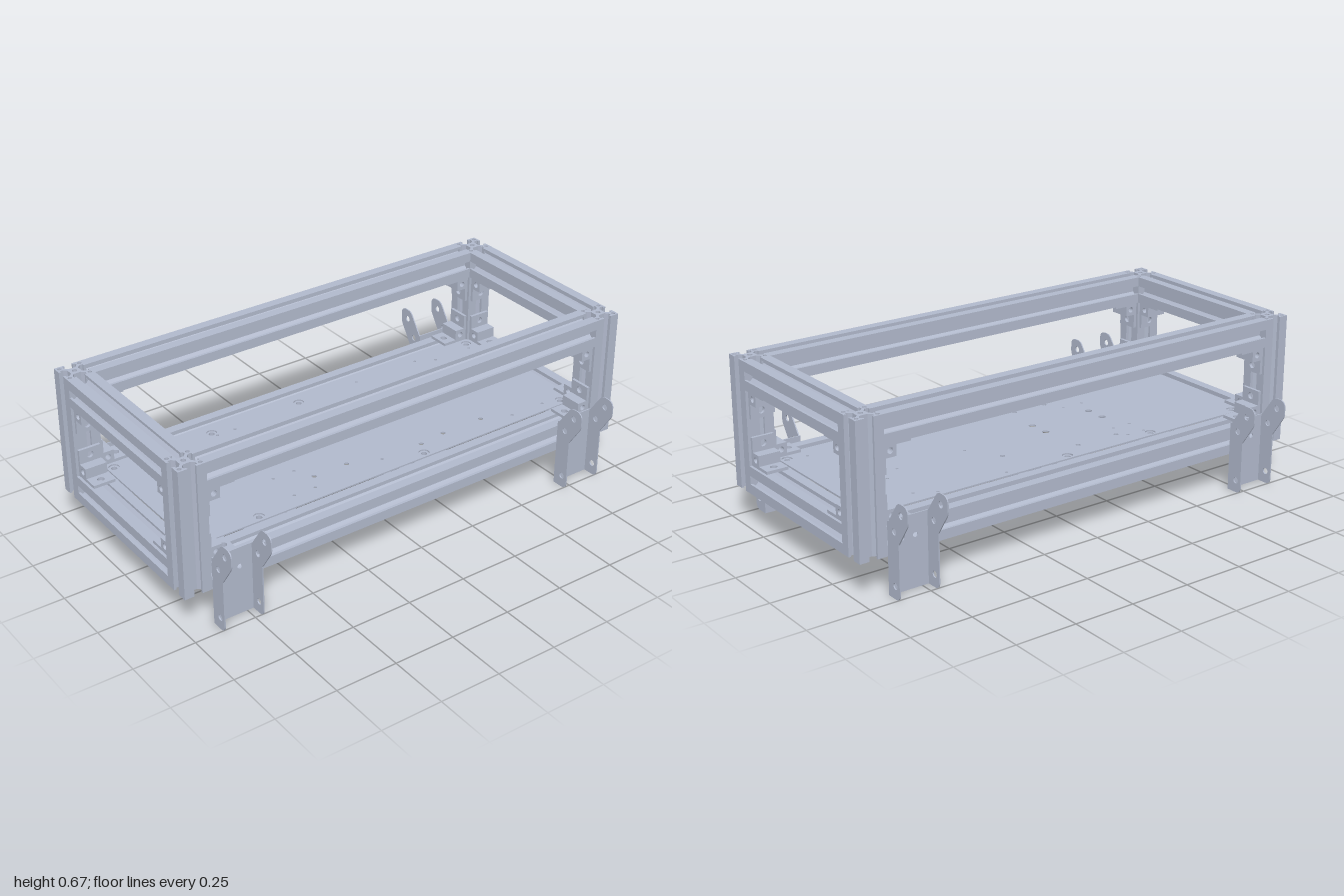
import * as THREE from 'three';

const metal = new THREE.MeshStandardMaterial({ color: 0xb0b8cb });
metal.name = 'brushed aluminium';

const HALF = 0.056;                       // half the beam section
const POST_X = 0.386, POST_Z = 0.944;     // post centres
const IN_X = 0.33, IN_Z = 0.888;          // inner faces of the frame
const LOW = 0.148, HIGH = 0.672;          // frame bottom and top
const DECK = LOW + 2 * HALF;              // top of the lower rails

const V = (x, y, z) => new THREE.Vector3(x, y, z);

function shapeWithHoles(points, holes = []) {
  const s = new THREE.Shape(points.map(p => new THREE.Vector2(p[0], p[1])));
  for (const [x, y, r] of holes) {
    s.holes.push(new THREE.Path().absarc(x, y, r, 0, Math.PI * 2, true));
  }
  return s;
}

function extrude(shape, depth) {
  return new THREE.ExtrudeGeometry(shape, { depth, bevelEnabled: false, curveSegments: 8 });
}

function add(parent, name, geometry) {
  const m = new THREE.Mesh(geometry, metal);
  m.name = name;
  parent.add(m);
  return m;
}

// T-slot section: one side repeated four times around the centre
function slotSection() {
  const side = [
    [HALF, -HALF], [HALF, -0.017], [0.046, -0.017], [0.046, -0.026], [0.034, -0.026], [0.022, -0.014],
    [0.022, 0.014], [0.034, 0.026], [0.046, 0.026], [0.046, 0.017], [HALF, 0.017],
  ];
  const points = [];
  for (let k = 0; k < 4; k++) {
    const c = [1, 0, -1, 0][k], s = [0, 1, 0, -1][k];
    for (const [x, y] of side) points.push([x * c - y * s, x * s + y * c]);
  }
  const holes = [[0, 0, 0.01]];
  for (const x of [-0.041, 0.041]) for (const y of [-0.041, 0.041]) holes.push([x, y, 0.008]);
  return shapeWithHoles(points, holes);
}

const section = slotSection();

function beam(parent, name, axis, length, x, y, z) {
  const g = extrude(section, length).translate(0, 0, -length / 2);
  if (axis === 'x') g.rotateY(Math.PI / 2);
  if (axis === 'y') g.rotateX(Math.PI / 2);
  add(parent, name, g).position.set(x, y, z);
}

// Corner bracket: two drilled arms and a bored block, laid along u and v
const ARM = 0.114, BLOCK = 0.055, THICK = 0.012, WIDTH = 0.09;
const armGeo = extrude(shapeWithHoles(
  [[0, -WIDTH / 2], [ARM, -WIDTH / 2], [ARM, WIDTH / 2], [0, WIDTH / 2]], [[0.085, 0, 0.014]]), THICK)
  .rotateX(-Math.PI / 2);
const armGeo2 = armGeo.clone().rotateZ(Math.PI / 2).translate(THICK, 0, 0);
const blockGeo = extrude(shapeWithHoles(
  [[0, 0], [BLOCK, 0], [BLOCK, BLOCK], [0, BLOCK]], [[0.03, 0.03, 0.012]]), WIDTH)
  .translate(0, 0, -WIDTH / 2);

function bracket(parent, name, pos, u, v) {
  const g = new THREE.Group();
  g.name = name;
  add(g, 'bracketArm', armGeo);
  add(g, 'bracketArm', armGeo2);
  add(g, 'bracketBlock', blockGeo);
  g.quaternion.setFromRotationMatrix(new THREE.Matrix4().makeBasis(u, v, u.clone().cross(v)));
  g.position.copy(pos);
  parent.add(g);
}

// Folded leg: a web against the rail and two drilled flanges reaching outwards
function leg(sx, sz) {
  const g = new THREE.Group();
  g.name = sx > 0 ? 'leftLeg' : 'rightLeg';
  const t = 0.005, z0 = 0.718, z1 = 0.886;
  const f = new THREE.Shape();
  f.moveTo(0, 0);
  f.lineTo(0.045, 0);
  f.quadraticCurveTo(0.07, 0, 0.07, 0.027);
  f.lineTo(0.07, 0.215);
  f.lineTo(0.122, 0.293);
  f.quadraticCurveTo(0.13, 0.305, 0.13, 0.318);
  f.lineTo(0.13, 0.342);
  f.quadraticCurveTo(0.13, 0.372, 0.1, 0.372);
  f.lineTo(0.088, 0.372);
  f.quadraticCurveTo(0.07, 0.372, 0.06, 0.358);
  f.lineTo(0, 0.272);
  for (const [x, y] of [[0.043, 0.05], [0.043, 0.256], [0.088, 0.33]]) {
    f.holes.push(new THREE.Path().absarc(x, y, 0.013, 0, Math.PI * 2, true));
  }
  const flange = extrude(f, t);
  add(g, 'legFlange', flange).position.z = z0;
  add(g, 'legFlange', flange).position.z = z1 - t;
  const web = shapeWithHoles([[-z1, 0], [-z0, 0], [-z0, 0.283], [-z1, 0.283]],
    [[-0.775, 0.203, 0.01], [-0.83, 0.203, 0.01]]);
  add(g, 'legWeb', extrude(web, t).rotateY(Math.PI / 2));
  g.position.x = sx * 0.442;
  g.scale.set(sx, 1, sz);
  return g;
}

// Deck plate: [x, z, radius] of the drilled holes
function deckPlate(screws) {
  const small = [
    [-0.26, -0.84], [-0.09, -0.84], [0.01, -0.78], [0.28, -0.78], [-0.26, -0.66], [-0.09, -0.66],
    [0.28, -0.62], [0.01, -0.62], [-0.3, -0.58], [-0.03, -0.58], [-0.3, -0.275], [-0.03, -0.275],
    [0.245, 0], [-0.27, 0.335], [-0.18, 0.335], [0.12, 0.32], [0.26, 0.32],
    [-0.27, 0.415], [-0.18, 0.415], [0.12, 0.415], [0.26, 0.415],
  ];
  const medium = [[0.23, -0.5], [0.23, -0.31], [-0.16, -0.19], [0.245, -0.19],
    [-0.24, 0.11], [0.195, 0.13], [0.195, 0.28], [-0.24, 0.3]];
  const large = [[-0.055, 0.095], [0.03, 0.095], [-0.055, 0.38], [0.03, 0.38]];
  const holes = [];
  for (const [list, r] of [[small, 0.006], [medium, 0.01], [large, 0.015], [screws, 0.021]]) {
    for (const [x, z] of list) holes.push([x, -z, r]);
  }
  const w = IN_X - 0.002, d = IN_Z - 0.002;
  return extrude(shapeWithHoles([[-w, -d], [w, -d], [w, d], [-w, d]], holes), 0.006).rotateX(-Math.PI / 2);
}

export function createModel() {
  const model = new THREE.Group();
  model.name = 'slottedBeamFrame';
  const top = HIGH - HALF, bottom = LOW + HALF;
  const screws = [];

  // Bracket under the deck, with its screw hole
  const deckBracket = (sx, z, dz) => {
    bracket(model, 'deckBracket', V(sx * IN_X, DECK - WIDTH / 2, z), V(-sx, 0, 0), V(0, 0, dz));
    screws.push([sx * (IN_X - 0.03), z + dz * 0.03]);
  };

  // Long and short rails
  for (const y of [top, bottom]) {
    for (const s of [-1, 1]) {
      beam(model, 'sideRail', 'z', 2 * IN_Z, s * POST_X, y, 0);
      beam(model, 'endRail', 'x', 2 * IN_X, 0, y, s * POST_Z);
    }
  }

  // Corners: post, leg and brackets
  for (const sx of [-1, 1]) {
    for (const sz of [-1, 1]) {
      beam(model, 'cornerPost', 'y', HIGH - LOW, sx * POST_X, (HIGH + LOW) / 2, sz * POST_Z);
      model.add(leg(sx, sz));
      for (const [y, dy] of [[HIGH - 2 * HALF, -1], [DECK, 1]]) {
        bracket(model, 'endBracket', V(sx * IN_X, y, sz * POST_Z), V(-sx, 0, 0), V(0, dy, 0));
        bracket(model, 'sideBracket', V(sx * POST_X, y, sz * IN_Z), V(0, 0, -sz), V(0, dy, 0));
      }
      deckBracket(sx, sz * IN_Z, -sz);
    }
  }

  // Cross beams under the deck, bracketed on opposite sides
  for (const [z, s] of [[-0.075, -1], [0.51, 1]]) {
    beam(model, 'crossBeam', 'x', 2 * IN_X, 0, bottom, z);
    deckBracket(1, z + s * HALF, s);
    deckBracket(-1, z - s * HALF, -s);
  }

  add(model, 'deckPlate', deckPlate(screws)).position.y = DECK;
  return model;
}
